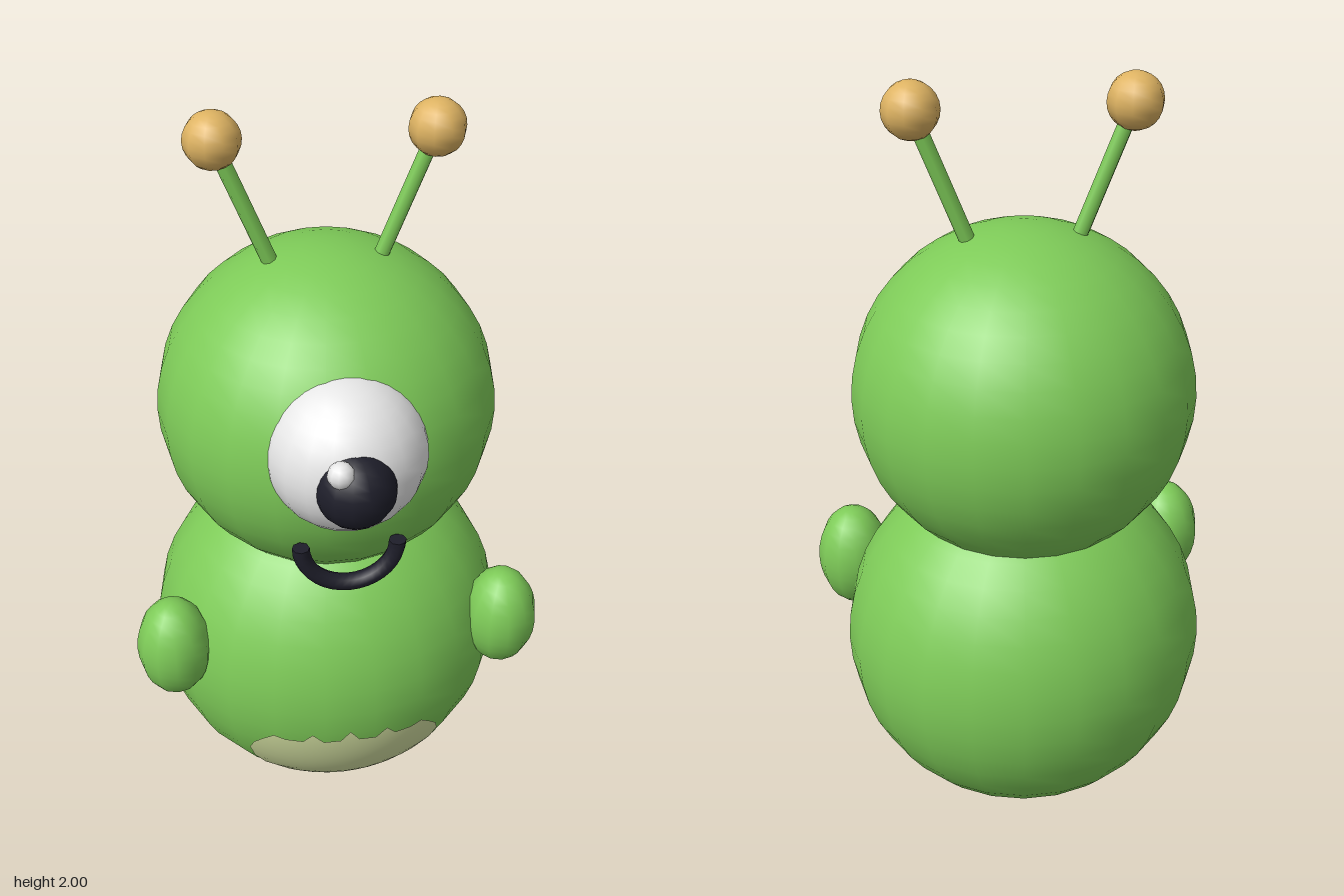
import * as THREE from 'three';

const material = (name, color, side = THREE.FrontSide) => {
  const m = new THREE.MeshStandardMaterial({ color, side });
  m.name = name;
  return m;
};

export function createModel() {
  const green = material('skin green', 0x7ecb58);
  const cream = material('belly cream', 0xd2dea0, THREE.DoubleSide);
  const white = material('eye white', 0xf2f2f2);
  const dark = material('dark navy', 0x1e1e2a);
  const gold = material('antenna gold', 0xdeb362);

  const group = new THREE.Group();
  const add = (name, geometry, mat, position = [0, 0, 0]) => {
    const mesh = new THREE.Mesh(geometry, mat);
    mesh.name = name;
    mesh.position.set(...position);
    group.add(mesh);
    return mesh;
  };
  const ball = (name, mat, position, radii, w, h) => {
    const mesh = add(name, new THREE.SphereGeometry(1, w, h), mat, position);
    mesh.scale.set(...radii);
    return mesh;
  };

  // Body and head
  const bodyCentre = [0, 0.492, -0.068];
  const bodyRadii = [0.475, 0.49, 0.453];
  ball('body', green, bodyCentre, bodyRadii, 22, 22);
  ball('head', green, [0, 1.203, -0.068], [0.435, 0.434, 0.434], 22, 22);

  // Belly patch with a scalloped top edge, wrapped over the body
  const half = [[0, 0.435], [0.025, 0.4], [0.07, 0.395], [0.1, 0.425], [0.125, 0.395], [0.17, 0.395],
    [0.2, 0.405], [0.225, 0.38], [0.25, 0.345], [0.26, 0.3], [0.245, 0.24], [0.215, 0.185],
    [0.17, 0.135], [0.115, 0.095], [0.06, 0.072], [0, 0.065]];
  const outline = [...half, ...half.slice(1, -1).reverse().map(([x, y]) => [-x, y])];
  const rings = 8, n = outline.length;
  const positions = [], normals = [], index = [];
  for (let r = 0; r <= rings; r++) {
    for (const [ox, oy] of outline) {
      const t = r / rings;
      const x = ox * t, y = 0.25 + (oy - 0.25) * t - bodyCentre[1];
      const u = x / bodyRadii[0], v = y / bodyRadii[1];
      const w = Math.sqrt(Math.max(0, 1 - u * u - v * v));
      positions.push(x, y + bodyCentre[1], bodyCentre[2] + w * bodyRadii[2] + 0.004);
      const normal = new THREE.Vector3(u / bodyRadii[0], v / bodyRadii[1], w / bodyRadii[2]).normalize();
      normals.push(normal.x, normal.y, normal.z);
    }
  }
  for (let r = 0; r < rings; r++) {
    for (let i = 0; i < n; i++) {
      const j = (i + 1) % n;
      const a = r * n + i, b = r * n + j, c = a + n, d = b + n;
      index.push(a, d, c);
      if (r > 0) index.push(a, b, d);
    }
  }
  // Outline runs clockwise from the front, so flip the winding
  for (let i = 0; i < index.length; i += 3) [index[i + 1], index[i + 2]] = [index[i + 2], index[i + 1]];
  for (let i = 0; i < index.length; i += 3) [index[i + 1], index[i + 2]] = [index[i + 2], index[i + 1]];
  const belly = new THREE.BufferGeometry();
  belly.setAttribute('position', new THREE.Float32BufferAttribute(positions, 3));
  belly.setAttribute('normal', new THREE.Float32BufferAttribute(normals, 3));
  belly.setIndex(index);
  add('belly', belly, cream);

  // Single eye
  ball('eyeball', white, [0, 1.273, 0.265], [0.2, 0.2, 0.2], 20, 18);
  ball('pupil', dark, [0, 1.27, 0.415], [0.1, 0.102, 0.102], 14, 14);
  ball('eyeHighlight', white, [-0.042, 1.342, 0.466], [0.033, 0.033, 0.033], 10, 8);

  // Smile: lower half ring with capped ends
  const mouth = add('mouth', new THREE.TorusGeometry(0.12, 0.022, 8, 18, Math.PI), dark, [0, 1.033, 0.333]);
  mouth.rotation.z = Math.PI;
  for (const s of [-1, 1]) {
    const cap = add('mouthEnd', new THREE.CircleGeometry(0.022, 8), dark, [s * 0.12, 1.033, 0.333]);
    cap.rotation.x = -Math.PI / 2;
  }

  // Arms and antennae, mirrored
  const up = new THREE.Vector3(0, 1, 0);
  for (const s of [-1, 1]) {
    const side = s > 0 ? 'left' : 'right';
    ball(side + 'Arm', green, [s * 0.442, 0.61, 0.17], [0.098, 0.146, 0.103], 12, 14);

    const base = new THREE.Vector3(s * 0.138, 1.61, -0.068);
    const tip = new THREE.Vector3(s * 0.264, 1.93, -0.068);
    const direction = tip.clone().sub(base);
    const stalk = add(side + 'AntennaStalk', new THREE.CylinderGeometry(0.02, 0.02, direction.length(), 8), green,
      base.clone().add(tip).multiplyScalar(0.5).toArray());
    stalk.quaternion.setFromUnitVectors(up, direction.normalize());
    ball(side + 'AntennaTip', gold, tip.toArray(), [0.07, 0.07, 0.07], 10, 12);
  }
  return group;
}
